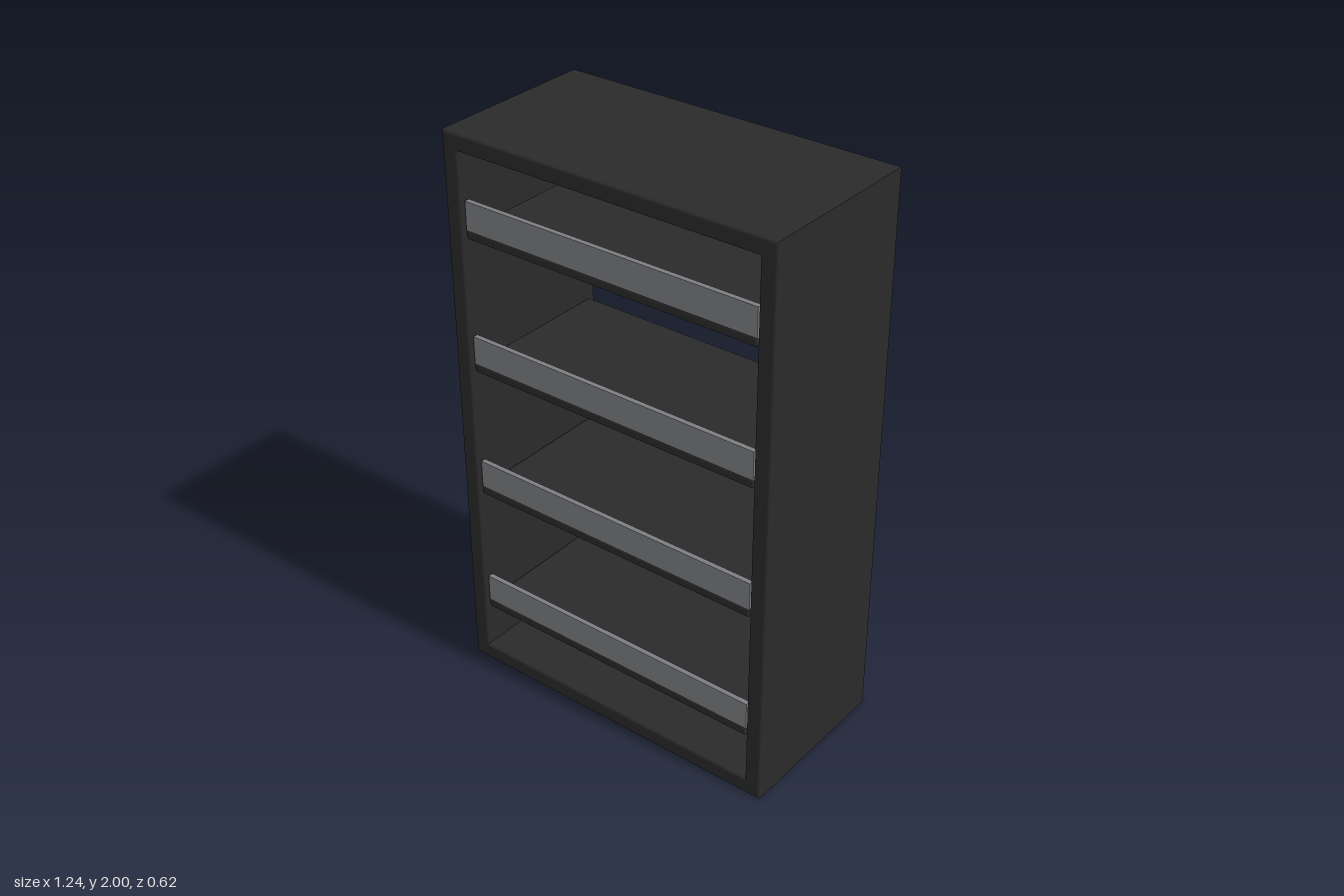
import * as THREE from 'three';
import { RoundedBoxGeometry } from 'three/addons/geometries/RoundedBoxGeometry.js';

const W = 1.235, H = 2, D = 0.62; // cabinet outside
const WALL = 0.042, BEVEL = 0.008;

// Rectangle outline centred on x, from y0 to y1
function rectangle(path, halfWidth, y0, y1) {
  path.moveTo(-halfWidth, y0);
  path.lineTo(halfWidth, y0);
  path.lineTo(halfWidth, y1);
  path.lineTo(-halfWidth, y1);
  path.closePath();
  return path;
}

export function createModel() {
  const model = new THREE.Group();
  model.name = 'openShelfCabinet';

  const black = new THREE.MeshStandardMaterial({ color: 0x2a2a2b });
  black.name = 'matte black';
  const grey = new THREE.MeshStandardMaterial({ color: 0x7c7d81 });
  grey.name = 'smoky grey';

  // Open frame: sides, top and bottom in one bevelled extrusion
  const outline = rectangle(new THREE.Shape(), W / 2 - BEVEL, BEVEL, H - BEVEL);
  const inset = WALL + BEVEL;
  outline.holes.push(rectangle(new THREE.Path(), W / 2 - inset, inset, H - inset));
  const frameGeometry = new THREE.ExtrudeGeometry(outline, {
    depth: D - 2 * BEVEL,
    bevelEnabled: true,
    bevelSize: BEVEL,
    bevelThickness: BEVEL,
    bevelSegments: 3,
  });
  frameGeometry.translate(0, 0, -D / 2 + BEVEL);
  const frame = new THREE.Mesh(frameGeometry, black);
  frame.name = 'frame';
  model.add(frame);

  // Four shelves, each with a retaining lip standing on its front edge
  const shelfGeometry = new RoundedBoxGeometry(1.1, 0.03, 0.57, 2, 0.006);
  const lipGeometry = new THREE.BoxGeometry(1.1, 0.1, 0.018);
  for (let i = 0; i < 4; i++) {
    const unit = new THREE.Group();
    unit.name = `shelfUnit${i + 1}`;
    unit.position.y = 0.228 + i * 0.474;

    const shelf = new THREE.Mesh(shelfGeometry, black);
    shelf.name = 'shelf';
    shelf.position.set(0, 0.015, 0.015);

    const lip = new THREE.Mesh(lipGeometry, grey);
    lip.name = 'frontLip';
    lip.position.set(0, 0.078, 0.289);

    unit.add(shelf, lip);
    model.add(unit);
  }
  return model;
}
